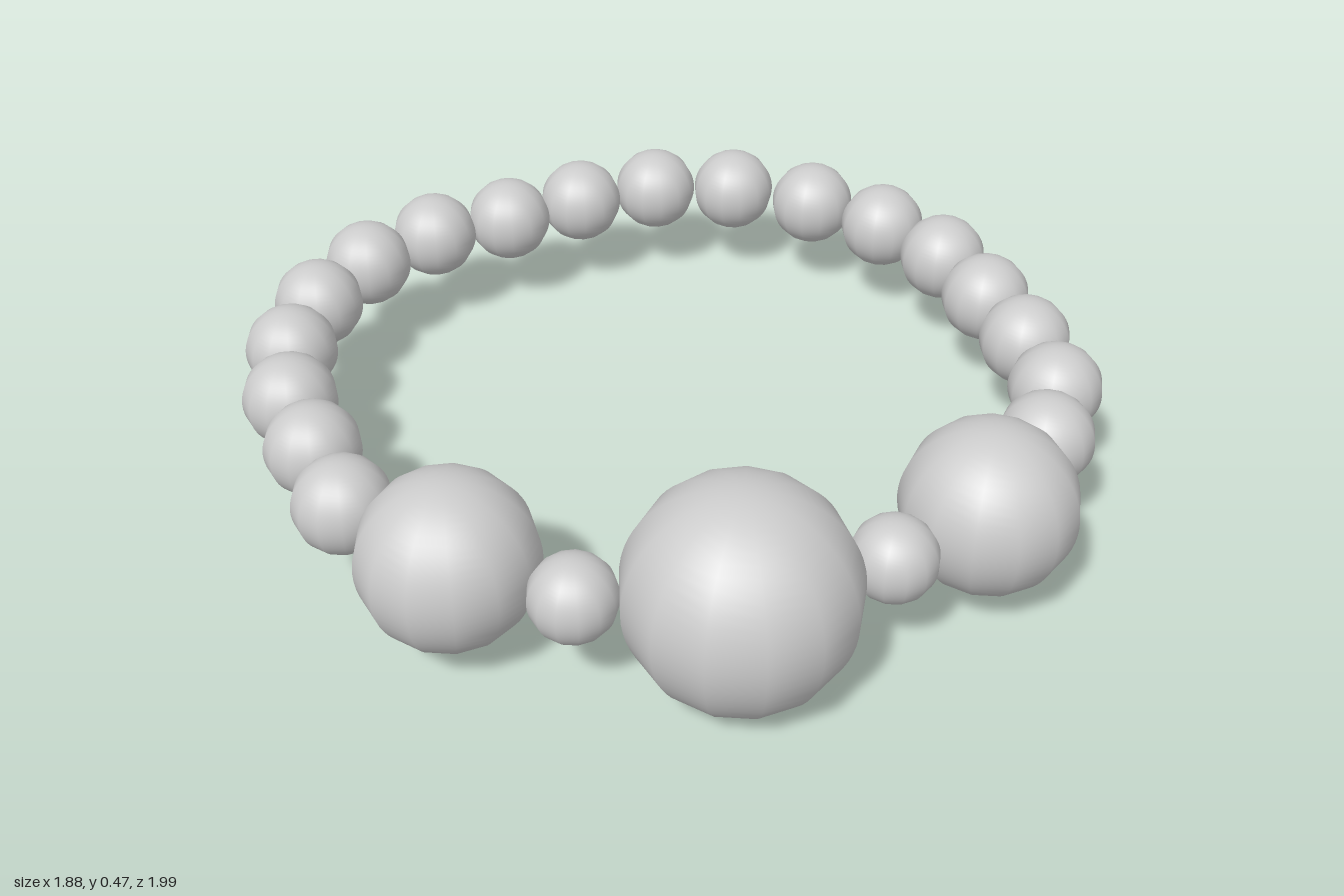
import * as THREE from 'three';

const SIDES = 13, RINGS = 32, CENTRE_Y = 0.237;

// Bead positions around the loop, as [x, z]
const smallBeads = [
  [0.745, 0.375], [0.83, 0.195], [0.83, -0.01], [0.8, -0.21], [0.755, -0.415],
  [0.65, -0.6], [0.5, -0.75], [0.31, -0.86], [0.105, -0.897], [-0.1, -0.86],
  [-0.295, -0.79], [-0.49, -0.735], [-0.66, -0.615], [-0.78, -0.44],
  [-0.84, -0.24], [-0.84, -0.035], [-0.79, 0.16], [-0.73, 0.365],
];
const beadSets = [
  { name: 'smallBead', radius: 0.104, spots: smallBeads },
  { name: 'spacerBead', radius: 0.09, spots: [[0.32, 0.71], [-0.305, 0.725]] },
  { name: 'mediumBead', radius: 0.184, spots: [[0.553, 0.578], [-0.53, 0.572]] },
  { name: 'largeBead', radius: 0.237, spots: [[0.01, 0.76]] },
];

export function createModel() {
  const bracelet = new THREE.Group();
  bracelet.name = 'beadBracelet';
  const material = new THREE.MeshStandardMaterial({ color: 0xcccccc });

  for (const { name, radius, spots } of beadSets) {
    // Start the sides at the front so each bead has a corner facing +z
    const geometry = new THREE.SphereGeometry(radius, SIDES, RINGS, Math.PI / 2);
    spots.forEach(([x, z], i) => {
      const bead = new THREE.Mesh(geometry, material);
      bead.name = spots.length > 1 ? `${name}${i + 1}` : name;
      bead.position.set(x, CENTRE_Y, z);
      bracelet.add(bead);
    });
  }
  return bracelet;
}
